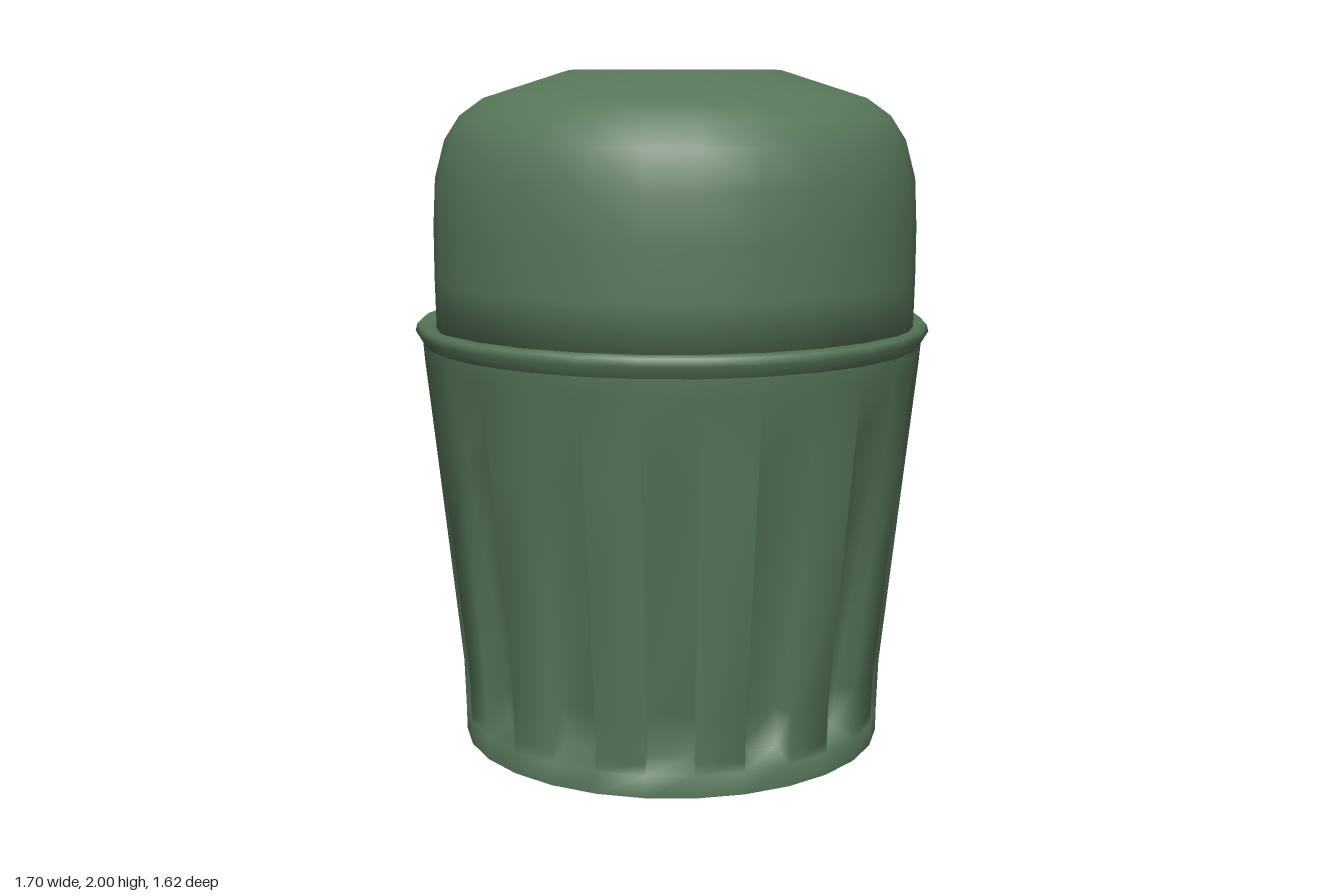
import * as THREE from 'three';
import { mergeGeometries, mergeVertices } from 'three/addons/utils/BufferGeometryUtils.js';

const green = new THREE.MeshStandardMaterial({ color: 0x58775a, side: THREE.DoubleSide });
green.name = 'bin green';
const grey = new THREE.MeshStandardMaterial({ color: 0xc6c6c6, side: THREE.DoubleSide });
grey.name = 'litter grey';

const SIDES = 28;
const STEP = (Math.PI * 2) / SIDES;
const v2 = (pts) => pts.map(([r, y]) => new THREE.Vector2(r, y));

function mesh(name, geometry, material) {
  const m = new THREE.Mesh(geometry, material);
  m.name = name;
  return m;
}

// Joins pieces at shared points and smooths them together
function weld(pieces) {
  const bare = pieces.map((g) => {
    g.deleteAttribute('normal');
    g.deleteAttribute('uv');
    return g;
  });
  const out = mergeVertices(mergeGeometries(bare), 1e-4);
  out.computeVertexNormals();
  return out;
}

// Surface through closed loops of equal length
function loft(loops) {
  const n = loops[0].length;
  const index = [];
  for (let j = 0; j < loops.length - 1; j++) {
    for (let i = 0; i < n; i++) {
      const a = j * n + i, b = j * n + ((i + 1) % n);
      index.push(a, b, b + n, a, b + n, a + n);
    }
  }
  const g = new THREE.BufferGeometry();
  g.setAttribute('position', new THREE.Float32BufferAttribute(loops.flat(2), 3));
  g.setIndex(index);
  return g;
}

const polar = (r, t, y) => [r * Math.sin(t), y, r * Math.cos(t)];

// Tapered wall: fourteen grooves between ridges, fading out towards the rim
function flutedWall() {
  const levels = [ // height, ridge radius, groove radius
    [0, 0.632, 0.632], [0.065, 0.633, 0.633], [0.1, 0.634, 0.56], [0.22, 0.638, 0.572],
    [0.6, 0.678, 0.633], [0.9, 0.71, 0.684], [1.15, 0.737, 0.737], [1.21, 0.742, 0.742],
  ];
  return weld([loft(levels.map(([y, ridge, groove]) => {
    const loop = [];
    for (let k = 0; k < SIDES; k += 2) {
      loop.push(polar(groove, k * STEP, y), polar(groove, (k + 1) * STEP, y));
      loop.push(polar(ridge, (k + 1) * STEP, y), polar(ridge, (k + 2) * STEP, y));
    }
    return loop;
  }))]);
}

// Domed lid with a rounded, lipped opening at the back
function domedLid() {
  const side = [[0.708, 1.25], [0.711, 1.4], [0.711, 1.55], [0.704, 1.69], [0.675, 1.8]];
  const top = [[0.675, 1.8], [0.63, 1.87], [0.56, 1.92], [0.31, 2], [0, 2]];
  const radiusAt = (y) => {
    const i = Math.max(1, side.findIndex((p) => y <= p[1] + 1e-6));
    const [r0, y0] = side[i - 1], [r1, y1] = side[i];
    return r0 + ((r1 - r0) * (y - y0)) / (y1 - y0);
  };
  // Border of the back panel, four steps per edge
  const border = [];
  const t0 = Math.PI - 2 * STEP, t1 = Math.PI + 2 * STEP;
  for (let i = 0; i < 4; i++) border.push([t0 + i * STEP, side[0][1]]);
  for (let i = 0; i < 4; i++) border.push([t1, side[i][1]]);
  for (let i = 0; i < 4; i++) border.push([t1 - i * STEP, side[4][1]]);
  for (let i = 0; i < 4; i++) border.push([t0, side[4 - i][1]]);
  const opening = border.map(([t, y]) => {
    const u = (t - Math.PI) / (2 * STEP), v = (y - 1.525) / 0.275;
    const l = (Math.abs(u) ** 2.5 + Math.abs(v) ** 2.5) ** 0.4;
    return [Math.PI + (0.285 * u) / l, 1.53 + (0.235 * v) / l];
  });
  const blend = (f, out) => border.map(([t, y], i) => {
    const tt = t + (opening[i][0] - t) * f, yy = y + (opening[i][1] - y) * f;
    return polar(radiusAt(yy) + out, tt, yy);
  });
  return weld([
    new THREE.LatheGeometry(v2(top), SIDES),
    new THREE.LatheGeometry(v2(side), SIDES - 4, t1, Math.PI * 2 - 4 * STEP),
    new THREE.LatheGeometry(v2([[0.6, 1.225], side[0]]), SIDES),
    loft([blend(0, 0), blend(0.55, 0.004), blend(1, 0.018), blend(1, -0.03)]),
  ]);
}

// Places a lathe so that its axis runs from one point to another
function aim(m, from, to) {
  const a = new THREE.Vector3(...from);
  const dir = new THREE.Vector3(...to).sub(a).normalize();
  m.position.copy(a);
  m.quaternion.setFromUnitVectors(new THREE.Vector3(0, 1, 0), dir);
  return m;
}

function bottle(name) {
  const profile = [[0, 0.015], [0.078, 0], [0.08, 0.17], [0.073, 0.3], [0.062, 0.345],
    [0.032, 0.385], [0.024, 0.42], [0.022, 0.485], [0.03, 0.492], [0.03, 0.513], [0, 0.513]];
  return mesh(name, new THREE.LatheGeometry(v2(profile), 10), grey);
}

export function createModel() {
  const model = new THREE.Group();
  model.name = 'litterBin';

  // Bin body
  const bin = new THREE.Group();
  bin.name = 'bin';
  bin.position.set(0.085, 0, 0.05);
  model.add(bin);
  bin.add(mesh('flutedWall', flutedWall(), green));
  const rim = v2([[0.742, 1.205], [0.763, 1.24], [0.758, 1.26], [0.745, 1.27], [0.7, 1.245]]);
  bin.add(mesh('rim', new THREE.LatheGeometry(rim, SIDES), green));
  const floor = mesh('floor', new THREE.CircleGeometry(0.562, SIDES), green);
  floor.rotation.x = Math.PI / 2;
  floor.position.y = 0.1;
  bin.add(floor);

  // Lid
  const lid = mesh('domedLid', domedLid(), green);
  lid.position.set(0.013, 0, 0.005);
  bin.add(lid);

  // Litter inside
  const heap = mesh('litterHeap', new THREE.CircleGeometry(0.69, SIDES), grey);
  heap.rotation.x = -Math.PI / 2;
  heap.position.set(0.012, 1.257, 0.005);
  bin.add(heap);
  model.add(aim(bottle('innerBottle'), [0.46, 1.34, -0.02], [0.62, 1.34, 0.4]));
  model.add(aim(bottle('innerBottle'), [0.1, 1.34, 0.06], [0.48, 1.3, -0.2]));

  // Cup sticking out of the opening
  const cup = v2([[0, -0.01], [0.118, 0], [0.108, 0.07], [0.085, 0.18], [0.07, 0.32], [0, 0.33]]);
  model.add(aim(mesh('cup', new THREE.LatheGeometry(cup, 10), grey), [0.18, 1.4, -0.76], [0.06, 1.385, -0.5]));

  // Bottle lying on the ground
  model.add(aim(bottle('groundBottle'), [-0.782, 0.086, -0.055], [-0.6, 0.086, -0.535]));

  return model;
}
